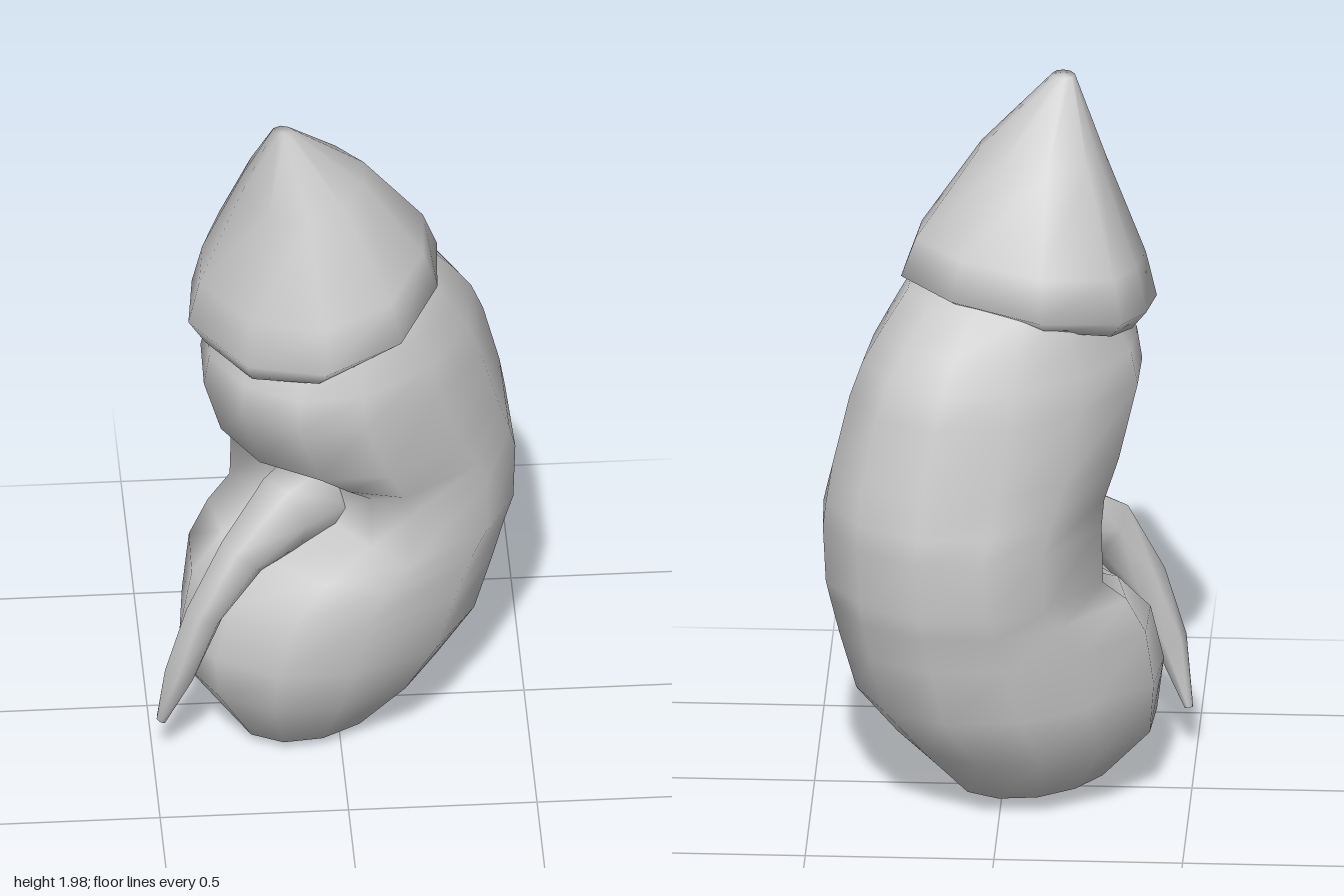
import * as THREE from 'three';

const material = new THREE.MeshStandardMaterial({ color: 0xcccccc, side: THREE.DoubleSide });

// Smooth skin over a stack of equal rings, closed at both ends
function loft(name, rings) {
  const n = rings[0].length, pos = [], index = [];
  for (const ring of rings) for (const p of ring) pos.push(p.x, p.y, p.z);
  for (let r = 0; r < rings.length - 1; r++) {
    for (let i = 0; i < n; i++) {
      const a = r * n + i, b = r * n + (i + 1) % n;
      index.push(a, b, b + n, a, b + n, a + n);
    }
  }
  const cap = (ring, start, up) => {
    const c = new THREE.Vector3();
    ring.forEach(p => c.addScaledVector(p, 1 / n));
    const id = pos.length / 3;
    pos.push(c.x, c.y, c.z);
    for (let i = 0; i < n; i++) {
      const a = start + i, b = start + (i + 1) % n;
      if (up) index.push(a, b, id); else index.push(b, a, id);
    }
  };
  cap(rings[0], 0, false);
  cap(rings[rings.length - 1], (rings.length - 1) * n, true);
  const geo = new THREE.BufferGeometry();
  geo.setAttribute('position', new THREE.Float32BufferAttribute(pos, 3));
  geo.setIndex(index);
  geo.computeVertexNormals();
  const mesh = new THREE.Mesh(geo, material);
  mesh.name = name;
  return mesh;
}

// u runs from the hollow side to the bulging side, w across the organ
const fromUW = (u, y, w) => new THREE.Vector3((u + w) * Math.SQRT1_2, y, (w - u) * Math.SQRT1_2);

// Bean-shaped body: y, u min, u max, w min, w max, hollow depth, squareness and w shift of the hollow side
function kidneyBody() {
  const levels = [
    [0.01, -0.20, 0.04, -0.12, 0.07, 0, 1, 0],
    [0.04, -0.30, 0.15, -0.20, 0.15, 0, 1, -0.01],
    [0.20, -0.39, 0.31, -0.34, 0.28, 0, 0.9, -0.04],
    [0.34, -0.42, 0.42, -0.34, 0.35, 0, 0.85, -0.06],
    [0.50, -0.37, 0.46, -0.345, 0.38, 0, 0.75, -0.06],
    [0.60, -0.29, 0.48, -0.34, 0.39, 0.03, 0.6, -0.03],
    [0.66, -0.17, 0.49, -0.34, 0.39, 0.10, 0.35, 0],
    [0.82, -0.17, 0.50, -0.335, 0.39, 0.10, 0.35, 0],
    [0.89, -0.23, 0.495, -0.33, 0.385, 0.03, 0.6, 0],
    [0.99, -0.34, 0.48, -0.32, 0.38, 0, 0.8, 0],
    [1.18, -0.41, 0.43, -0.31, 0.36, 0, 0.75, 0],
    [1.27, -0.40, 0.39, -0.29, 0.34, 0, 0.8, 0],
    [1.35, -0.36, 0.33, -0.26, 0.31, 0, 0.9, 0],
    [1.45, -0.32, 0.24, -0.23, 0.28, 0, 1, 0],
    [1.56, -0.22, 0.06, -0.13, 0.15, 0, 1, 0],
  ];
  const sides = 12;
  return loft('kidneyBody', levels.map(([y, u0, u1, w0, w1, hollow, power, shift]) => {
    const ring = [];
    for (let i = 0; i < sides; i++) {
      const a = i / sides * Math.PI * 2, c = Math.cos(a), s = Math.sin(a);
      const shaped = c < -0.01 ? -Math.pow(-c, power) : c;
      const inner = Math.max(0, -c);
      const u = (u0 + u1) / 2 + shaped * (u1 - u0) / 2 + hollow * Math.pow(inner, 4);
      ring.push(fromUW(u, y, (w0 + w1) / 2 - s * (w1 - w0) / 2 + shift * Math.sqrt(inner)));
    }
    return ring;
  }));
}

// Pointed gland sitting on top with a slanted rim that tucks in below
function adrenalGland() {
  const rim = [[0.27, -0.02], [0.13, -0.18], [-0.11, -0.26], [-0.32, -0.16], [-0.38, -0.02],
    [-0.40, 0.14], [-0.26, 0.35], [-0.05, 0.43], [0.15, 0.35], [0.26, 0.15]];
  const tip = new THREE.Vector3(-0.16, 2, 0.165);
  // height share, scale towards the tip, lean to the bulging side
  const levels = [[-0.05, 0.6, 0], [-0.1, 0.82, 0], [0, 1, 0], [0.2, 0.9, 0.005],
    [0.64, 0.5, 0.015], [0.99, 0.09, 0]];
  return loft('adrenalGland', levels.map(([t, s, lean]) => rim.map(([x, z]) => {
    const base = 1.44 + 0.14 * x - 0.1 * z;
    return new THREE.Vector3(
      tip.x + (x - tip.x) * s + lean,
      base + (tip.y - base) * t,
      tip.z + (z - tip.z) * s - lean);
  })));
}

// Drain tube leaving the hollow, tapering as it bends downwards
function ureter() {
  const stations = [ // x, y, z, half height, half width
    [-0.04, 0.735, 0.03, 0.13, 0.12],
    [-0.15, 0.725, 0.13, 0.12, 0.09],
    [-0.265, 0.66, 0.23, 0.085, 0.06],
    [-0.365, 0.50, 0.26, 0.06, 0.05],
    [-0.43, 0.32, 0.27, 0.045, 0.045],
    [-0.48, 0.14, 0.24, 0.01, 0.015],
  ];
  const pts = stations.map(p => new THREE.Vector3(p[0], p[1], p[2]));
  const across = new THREE.Vector3(1, 0, 1).normalize();
  const sides = 6;
  return loft('ureter', stations.map((p, k) => {
    const dir = pts[Math.min(k + 1, pts.length - 1)].clone().sub(pts[Math.max(k - 1, 0)]).normalize();
    const side = across.clone().addScaledVector(dir, -across.dot(dir)).normalize();
    const up = dir.clone().cross(side);
    return Array.from({ length: sides }, (_, i) => {
      const a = i / sides * Math.PI * 2;
      return pts[k].clone().addScaledVector(side, Math.cos(a) * p[4]).addScaledVector(up, Math.sin(a) * p[3]);
    });
  }));
}

export function createModel() {
  const group = new THREE.Group();
  group.name = 'kidney';
  group.add(kidneyBody(), adrenalGland(), ureter());
  return group;
}
